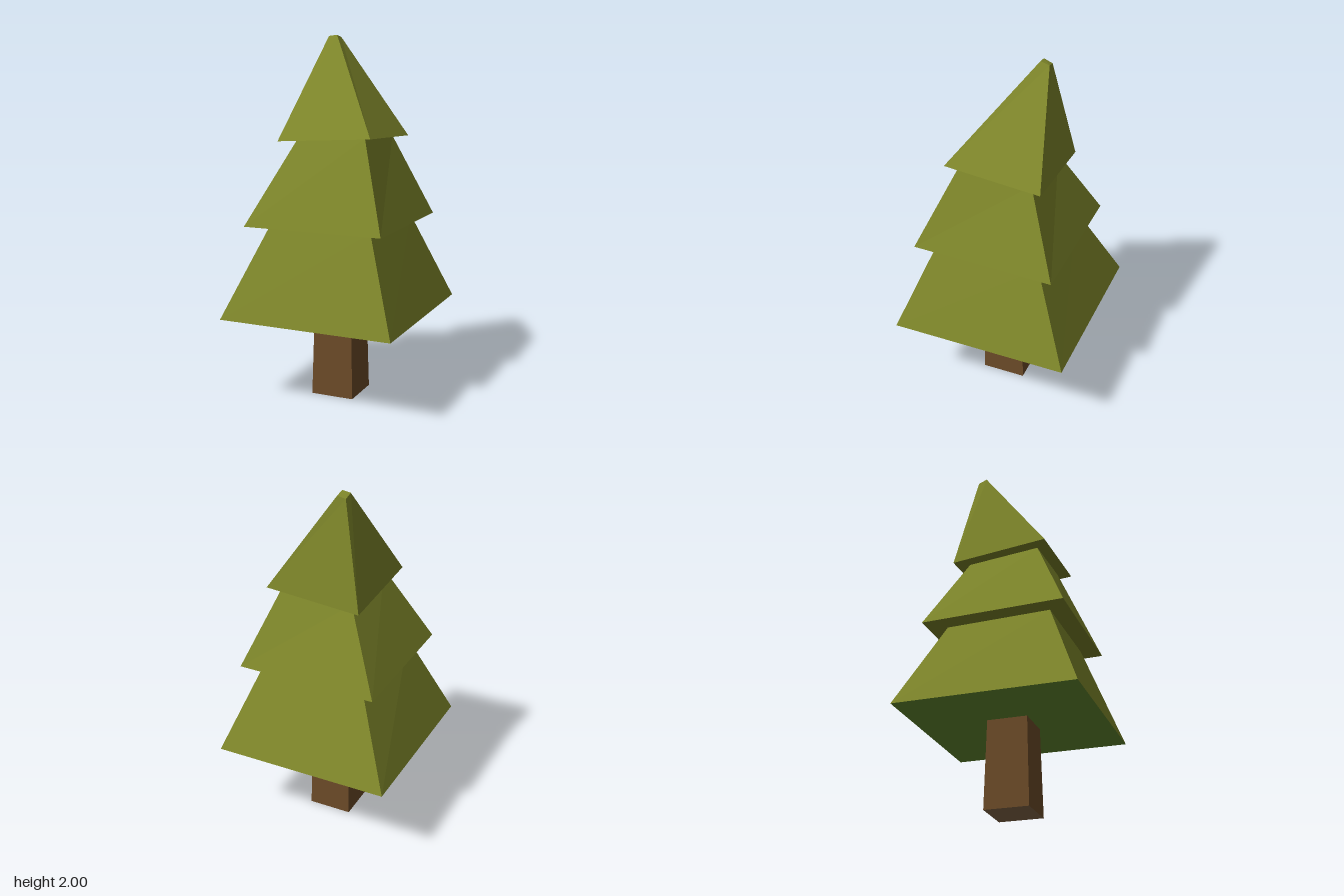
import * as THREE from 'three';

// Builds flat faces from quads of [x, y, z] corners, counter-clockwise from outside
function quadMesh(name, quads, material) {
  const positions = [];
  for (const [a, b, c, d] of quads) positions.push(...a, ...b, ...c, ...a, ...c, ...d);
  const geometry = new THREE.BufferGeometry();
  geometry.setAttribute('position', new THREE.Float32BufferAttribute(positions, 3));
  geometry.computeVertexNormals();
  const mesh = new THREE.Mesh(geometry, material);
  mesh.name = name;
  return mesh;
}

// Side faces joining two four-cornered rings
function band(lower, upper) {
  return lower.map((corner, i) => {
    const j = (i + 1) % lower.length;
    return [corner, lower[j], upper[j], upper[i]];
  });
}

const flipped = (ring) => [...ring].reverse();

export function createModel() {
  const foliage = new THREE.MeshStandardMaterial({ name: 'olive foliage', color: 0x7e862a, flatShading: true });
  const underside = new THREE.MeshStandardMaterial({ name: 'green underside', color: 0x658d30, flatShading: true });
  const bark = new THREE.MeshStandardMaterial({ name: 'brown bark', color: 0x6c4b28, flatShading: true });
  const cutWood = new THREE.MeshStandardMaterial({ name: 'pale cut wood', color: 0x886a4a, flatShading: true });

  const tree = new THREE.Group();
  tree.name = 'tree';

  // Tapered square trunk; corners run left, front, right, back
  const foot = [[-0.164, 0, -0.06], [-0.062, 0, 0.164], [0.163, 0, 0.06], [0.06, 0, -0.163]];
  const neck = foot.map(([x, , z]) => [x * 0.9, 0.5, z * 0.9]);
  tree.add(quadMesh('trunk', band(foot, neck), bark));
  tree.add(quadMesh('trunkBase', [flipped(foot)], cutWood));

  // Three tiers, each a wide lower ring and a narrow upper ring, leaning more towards the tip
  const tiers = [
    ['lowerTier',
      [[-0.658, 0.491, -0.247], [-0.246, 0.491, 0.656], [0.656, 0.491, 0.243], [0.244, 0.491, -0.658]],
      [[-0.39, 0.998, -0.135], [-0.15, 1.005, 0.4], [0.383, 0.995, 0.163], [0.143, 0.988, -0.367]]],
    ['middleTier',
      [[-0.528, 0.998, -0.19], [-0.2, 1.007, 0.53], [0.521, 0.994, 0.205], [0.193, 0.984, -0.51]],
      [[-0.252, 1.45, -0.075], [-0.085, 1.483, 0.285], [0.277, 1.45, 0.118], [0.11, 1.412, -0.24]]],
    ['topTier',
      [[-0.345, 1.45, -0.122], [-0.122, 1.49, 0.365], [0.371, 1.446, 0.147], [0.145, 1.4, -0.336]],
      [[0.06, 1.993, -0.167], [0.08, 2.0, -0.123], [0.127, 1.987, -0.142], [0.106, 1.976, -0.184]]],
  ];
  tiers.forEach(([name, wide, narrow], i) => {
    const faces = band(wide, narrow);
    // Overhang resting on the tier below
    if (i > 0) faces.push(...band(tiers[i - 1][2], wide));
    // Small blunt tip
    if (i === tiers.length - 1) faces.push(narrow);
    tree.add(quadMesh(name, faces, foliage));
  });

  // Closed base of the foliage
  tree.add(quadMesh('foliageUnderside', [flipped(tiers[0][1])], underside));

  return tree;
}
